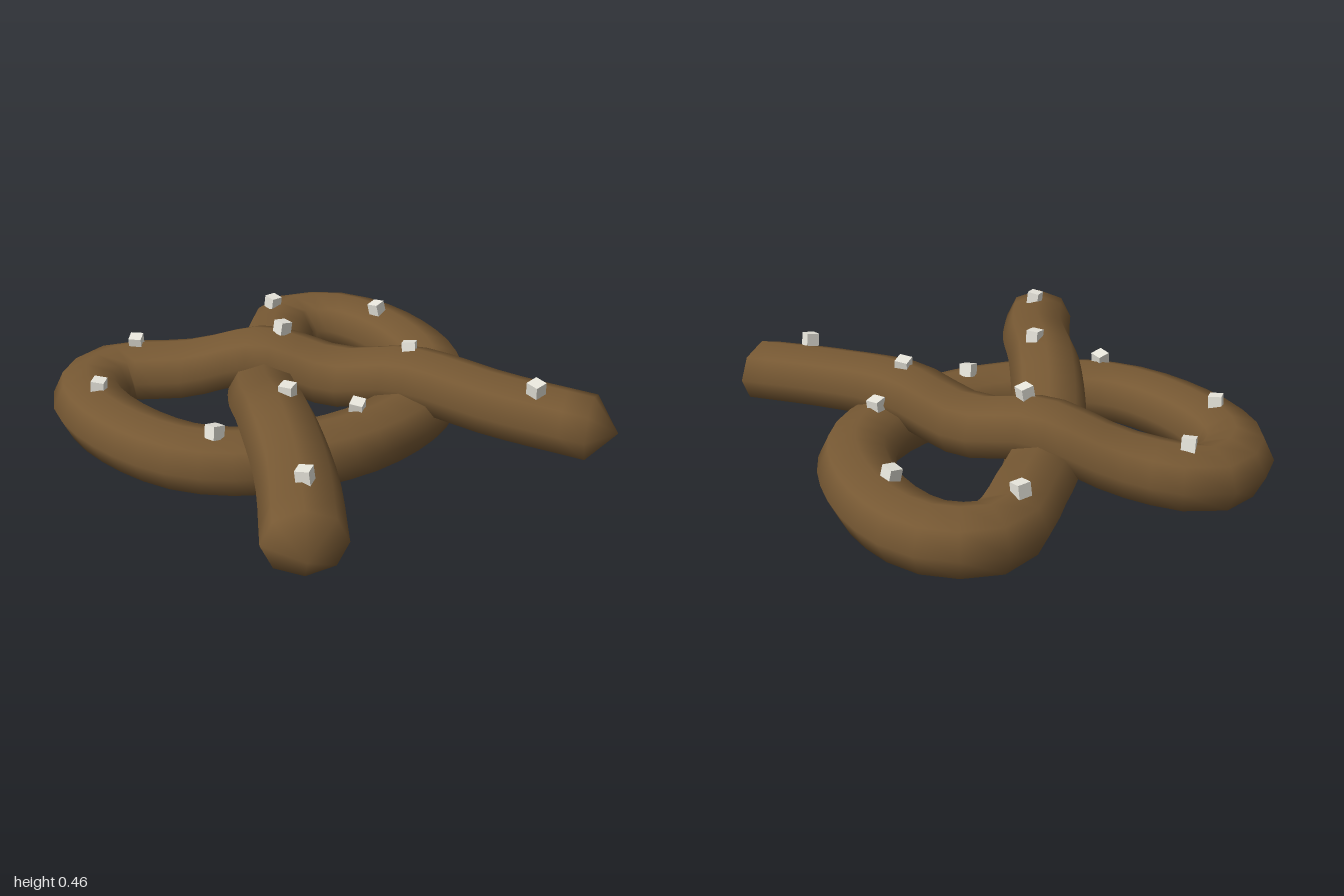
import * as THREE from 'three';

const SIDES = 8, STEPS = 72, WIDE = 0.159, TALL = 0.135, CAP = 0.11;

// Octagonal rope swept along a curve, flattened in height, with a blunt point at each end
function ropeGeometry(curve) {
  const positions = [], index = [];
  const up = new THREE.Vector3(0, 1, 0);
  for (let i = 0; i <= STEPS; i++) {
    const p = curve.getPointAt(i / STEPS);
    const side = curve.getTangentAt(i / STEPS).cross(up).normalize();
    for (let j = 0; j < SIDES; j++) {
      const a = (j / SIDES) * Math.PI * 2;
      const w = Math.cos(a) * WIDE;
      positions.push(p.x + side.x * w, p.y + Math.sin(a) * TALL, p.z + side.z * w);
    }
  }
  for (let i = 0; i < STEPS; i++) {
    for (let j = 0; j < SIDES; j++) {
      const k = (j + 1) % SIDES;
      const a = i * SIDES + j, b = i * SIDES + k;
      index.push(a, a + SIDES, b, b, a + SIDES, b + SIDES);
    }
  }
  // End tips
  const start = curve.getPointAt(0).addScaledVector(curve.getTangentAt(0), -CAP);
  const end = curve.getPointAt(1).addScaledVector(curve.getTangentAt(1), CAP);
  const tip = positions.length / 3, last = STEPS * SIDES;
  positions.push(...start.toArray(), ...end.toArray());
  for (let j = 0; j < SIDES; j++) {
    const k = (j + 1) % SIDES;
    index.push(tip, j, k, tip + 1, last + k, last + j);
  }
  const geometry = new THREE.BufferGeometry();
  geometry.setAttribute('position', new THREE.Float32BufferAttribute(positions, 3));
  geometry.setIndex(index);
  geometry.computeVertexNormals();
  return geometry;
}

export function createModel() {
  const model = new THREE.Group();
  model.name = 'pretzel';
  const crust = new THREE.MeshStandardMaterial({ color: 0x765833 });
  crust.name = 'brown crust';
  const saltWhite = new THREE.MeshStandardMaterial({ color: 0xe8e6dc });
  saltWhite.name = 'salt white';

  // Half of the knot, from one free end to the middle of the big loop: x, y, z
  const half = [
    [0.725, 0.225, 0.905], [0.52, 0.26, 0.58], [0.34, 0.295, 0.2], [0.19, 0.23, -0.09],
    [0, 0.28, -0.37], [-0.23, 0.185, -0.63], [-0.48, 0.152, -0.84], [-0.68, 0.152, -0.74],
    [-0.76, 0.152, -0.44], [-0.66, 0.152, 0], [-0.42, 0.152, 0.22],
  ];
  // The mirrored half passes underneath at the crossing
  const under = half.map(([x, y, z], i) => [-x, i === 4 ? 0.14 : i === 5 ? 0.152 : i === 3 ? 0.22 : y, z]);
  const path = [...half, [0, 0.152, 0.32], ...under.reverse()];
  const curve = new THREE.CatmullRomCurve3(path.map((p) => new THREE.Vector3(...p)));
  curve.arcLengthDivisions = 600;

  const dough = new THREE.Mesh(ropeGeometry(curve), crust);
  dough.name = 'twistedDough';
  model.add(dough);

  // Salt grains resting on the dough: x, y, z, turn
  const grains = [
    [-0.4, 0.3, -0.8, 0.8], [-0.75, 0.295, -0.51, 0.75], [-0.59, 0.295, 0.13, 0.15],
    [-0.3, 0.425, 0.22, 0.5], [-0.005, 0.295, 0.295, 0.6], [0.35, 0.425, 0.2, 0.7],
    [0.505, 0.295, 0.145, 0.5], [0.55, 0.39, 0.75, 0.05], [-0.61, 0.39, 0.75, 0.6],
    [0.05, 0.425, -0.3, 0.05], [0.36, 0.3, -0.81, 0.1], [0.715, 0.295, -0.46, 0.2],
  ];
  const salt = new THREE.Group();
  salt.name = 'salt';
  const cube = new THREE.BoxGeometry(0.056, 0.056, 0.056);
  grains.forEach(([x, y, z, turn], i) => {
    const grain = new THREE.Mesh(cube, saltWhite);
    grain.name = 'saltGrain';
    grain.position.set(x, y, z);
    grain.rotation.set(0.15 * Math.sin(i * 2.1), turn, 0.2 * Math.cos(i * 1.7));
    salt.add(grain);
  });
  model.add(salt);
  return model;
}
